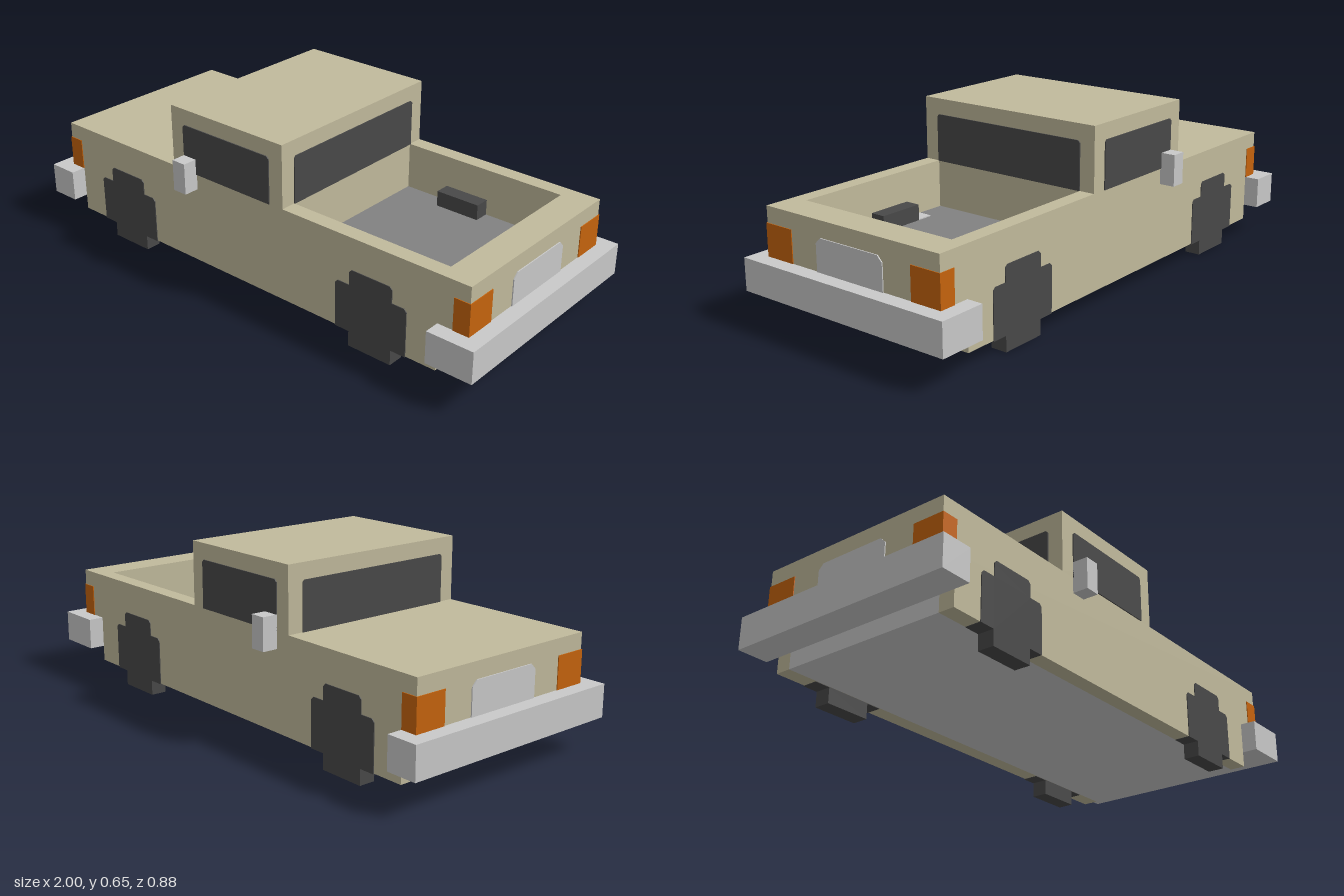
import * as THREE from 'three';

const U = 1 / 17; // one grid block

const mat = (name, color) => {
  const m = new THREE.MeshStandardMaterial({ color });
  m.name = name;
  return m;
};

export function createModel() {
  const truck = new THREE.Group();
  truck.name = 'pickupTruck';
  const paint = mat('khakiPaint', 0xc1ba9c);
  const metal = mat('lightMetal', 0xc9c9c9);
  const dark = mat('darkRubberAndGlass', 0x494949);
  const amber = mat('amberLamp', 0xc6640d);
  const bedGrey = mat('bedGrey', 0x818181);

  const add = (name, geometry, material) => {
    const mesh = new THREE.Mesh(geometry, material);
    mesh.name = name;
    truck.add(mesh);
    return mesh;
  };

  // Box given by its limits on each axis
  const box = (name, material, x0, x1, y0, y1, z0, z1) => {
    const g = new THREE.BoxGeometry(x1 - x0, y1 - y0, z1 - z0);
    g.translate((x0 + x1) / 2, (y0 + y1) / 2, (z0 + z1) / 2);
    return add(name, g, material);
  };

  // Side profile extruded between two z limits
  const profile = (name, material, points, z0, z1) => {
    const shape = new THREE.Shape(points.map(([x, y]) => new THREE.Vector2(x, y)));
    const g = new THREE.ExtrudeGeometry(shape, { depth: z1 - z0, bevelEnabled: false });
    g.translate(0, 0, z0);
    return add(name, g, material);
  };

  // Thin plate with clipped top corners, centred on the plane at depth 0
  const plate = (name, material, a0, a1, y0, y1, c) => profile(name, material,
    [[a0, y0], [a1, y0], [a1, y1 - c], [a1 - c, y1], [a0 + c, y1], [a0, y1 - c]], -0.004, 0.004);

  const half = 6.5 * U, inner = 5.5 * U, bumperHalf = 7.5 * U;
  const ends = 16 * U, front = -15 * U, rear = 14 * U;
  const sill = U, step = 4 * U, deck = 7 * U, roof = 11 * U;
  const cabFront = -6 * U, cabRear = 3 * U;

  // Chassis block whose top is the bed floor
  box('chassis', [metal, metal, bedGrey, metal, metal, metal], front, rear, sill, step, -inner, inner);

  // Hood, cab and tailgate
  box('hood', paint, -ends, cabRear, step, deck, -inner, inner);
  box('cab', paint, cabFront, cabRear, deck, roof, -half, half);
  box('tailgate', paint, rear, ends, step, deck, -inner, inner);

  // Bumpers
  box('frontBumper', metal, -1, front, 2 * U, step, -bumperHalf, bumperHalf);
  box('rearBumper', metal, rear, 1, 2 * U, step, -bumperHalf, bumperHalf);

  // Light scuffs on the bed floor
  box('bedScuffSmall', metal, 5 * U, 6 * U, step, step + 0.004, 4.5 * U, inner);
  box('bedScuffLarge', metal, 13 * U, rear, step, step + 0.004, 3.5 * U, inner);

  for (const s of [1, -1]) {
    const side = s > 0 ? 'left' : 'right';
    const span = (a, b) => (s > 0 ? [a, b] : [-b, -a]);

    // Body side with stepped ends
    profile(side + 'BodySide', paint, [
      [front, sill], [rear, sill], [rear, step], [ends, step],
      [ends, deck], [-ends, deck], [-ends, step], [front, step],
    ], ...span(inner, half));

    // Stepped wheels
    for (const [label, cx] of [['Front', -10.5 * U], ['Rear', 9.5 * U]]) {
      const w = 2.5 * U, n = 1.5 * U, b = sill - 0.002, c = 0.01;
      profile(side + label + 'Wheel', dark, [
        [cx - n, 0], [cx + n, 0], [cx + n, b], [cx + w, b],
        [cx + w, step - c], [cx + w - c, step], [cx + n, step],
        [cx + n, 5 * U - c], [cx + n - c, 5 * U], [cx - n + c, 5 * U], [cx - n, 5 * U - c],
        [cx - n, step], [cx - w + c, step], [cx - w, step - c], [cx - w, b], [cx - n, b],
      ], ...span(inner + 0.001, half + 0.003));
    }

    // Wheel hump inside the bed
    box(side + 'BedHump', dark, 6 * U, 9 * U, step, 5 * U, ...span(4.5 * U, inner));

    // Door mirror
    box(side + 'Mirror', metal, -5 * U, -4 * U, 6 * U, 8 * U, ...span(half, bumperHalf));

    // Side window
    plate(side + 'SideWindow', dark, -5 * U, 2 * U, deck, 10 * U, 0.008).position.z = s * half;

    // Corner lamps wrapping round both ends
    const lampZ = span(4.5 * U, half + 0.003);
    box(side + 'FrontLamp', amber, -ends - 0.003, front, step, 6 * U, ...lampZ);
    box(side + 'RearLamp', amber, 15 * U, ends + 0.003, step, 6 * U, ...lampZ);
  }

  // Windscreen, rear window, grille and tailgate panel
  const facing = (name, material, w, y0, y1, c, x) => {
    const m = plate(name, material, -w, w, y0, y1, c);
    m.rotation.y = Math.PI / 2;
    m.position.x = x;
  };
  facing('windscreen', dark, inner, deck, 10 * U, 0.008, cabFront);
  facing('rearWindow', dark, inner, deck, 10 * U, 0.008, cabRear);
  facing('grille', metal, 2.5 * U, step, 6 * U, 0.02, -ends);
  facing('tailgatePanel', metal, 2.5 * U, step, 6 * U, 0.02, ends);

  return truck;
}
